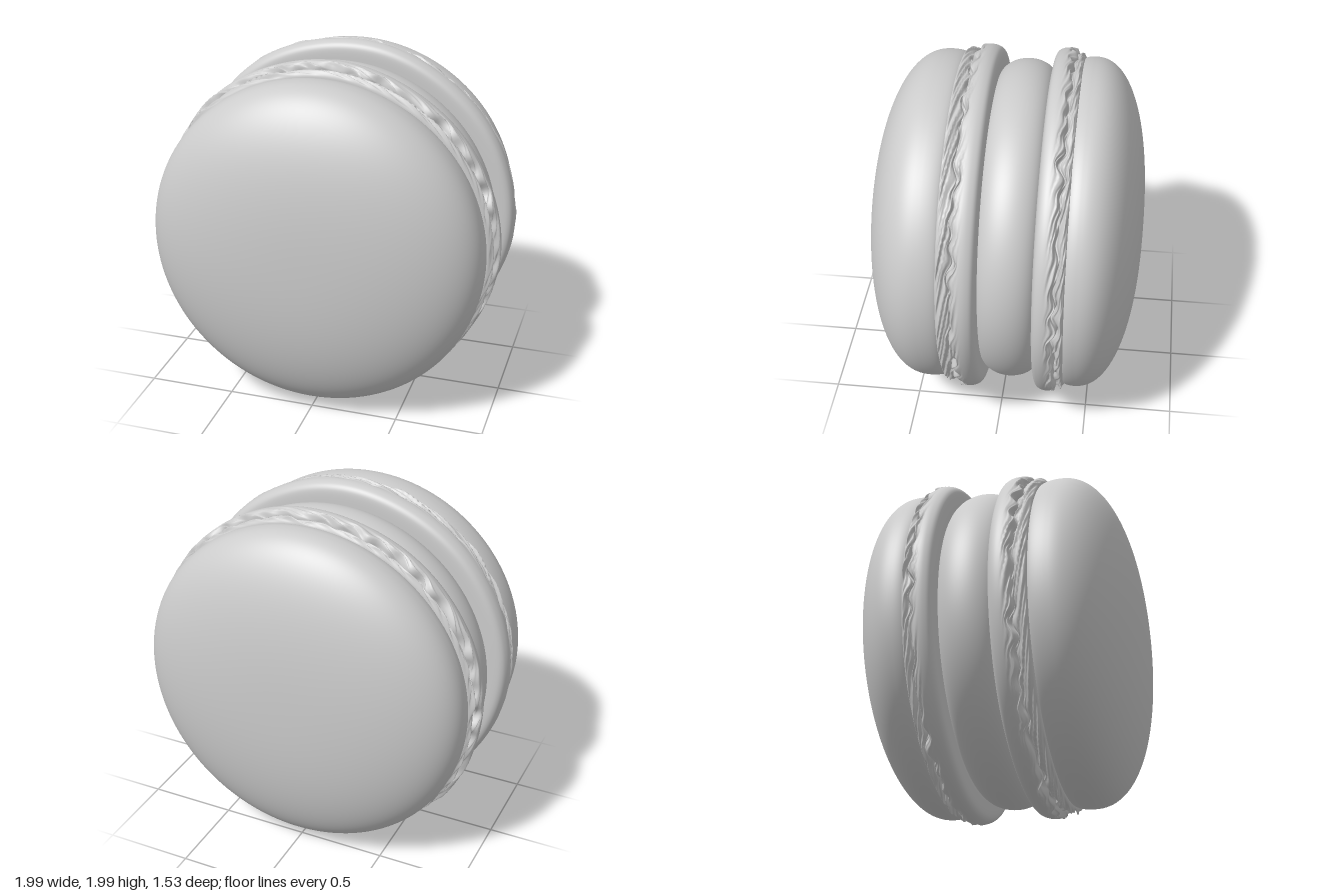
import * as THREE from 'three';
import { mergeVertices } from 'three/addons/utils/BufferGeometryUtils.js';

const material = new THREE.MeshStandardMaterial({ color: 0xcccccc });

// Periodic ripple around the rim: sines of whole-number frequencies, roughly -1..1
function ripple(angle, seed, freqs) {
  return freqs.reduce((sum, f, i) => sum + Math.sin(f * angle + seed * (i + 1.7) + i * i), 0) / freqs.length;
}

// Revolve a [radius, height] profile about the z axis; side = 1 faces front, -1 faces back
function revolve(name, profile, side, segments, warp) {
  const points = profile.map(([r, t]) => new THREE.Vector2(r, t));
  let geometry = new THREE.LatheGeometry(points, segments);
  geometry.deleteAttribute('uv');
  geometry.deleteAttribute('normal');
  geometry = mergeVertices(geometry, 1e-5);
  if (warp) {
    const pos = geometry.attributes.position;
    for (let i = 0; i < pos.count; i++) {
      const angle = Math.atan2(pos.getX(i), pos.getZ(i));
      const [r, t] = warp(Math.hypot(pos.getX(i), pos.getZ(i)), pos.getY(i), angle);
      pos.setXYZ(i, r * Math.sin(angle), t, r * Math.cos(angle));
    }
  }
  geometry.rotateX(side * Math.PI / 2);
  geometry.computeVertexNormals();
  const mesh = new THREE.Mesh(geometry, material);
  mesh.name = name;
  mesh.position.y = 1;
  return mesh;
}

// Smooth domed biscuit, widest just above its base
function shell(name, side, base, widest, top) {
  const profile = [[0, base], [0.88, base], [0.92, base + 0.005]];
  for (let i = 0; i <= 10; i++) {
    const a = (1 - i / 10) * Math.PI / 2 * 0.75;
    profile.push([0.95 - 0.03 * (1 - Math.cos(a)), widest - (widest - base - 0.005) * Math.sin(a)]);
  }
  for (let i = 1; i <= 40; i++) {
    const a = i / 40 * Math.PI / 2;
    profile.push([
      0.95 * Math.max(Math.cos(a), 0) ** (2 / 2.3),
      widest + (top - widest) * Math.sin(a) ** (2 / 2.3),
    ]);
  }
  profile[profile.length - 1][0] = 0;
  return revolve(name, profile, side, 128);
}

// Ruffled foot: a wide smooth lip, a ragged groove, then a thin crumbly lip
function foot(name, side, inner, edge, outer, seed) {
  const mid = (edge + outer) / 2 + 0.01;
  const lip = edge - inner;
  const curve = new THREE.SplineCurve([
    [0.8, inner], [0.92, inner], [0.965, inner + 0.1 * lip], [0.985, inner + 0.35 * lip],
    [0.99, inner + 0.65 * lip], [0.982, edge - 0.012], [0.962, edge], [0.935, edge + 0.002],
    [0.928, edge + 0.012], [0.945, edge + 0.018], [0.962, mid], [0.958, outer - 0.012],
    [0.935, outer], [0.88, outer],
  ].map(([r, t]) => new THREE.Vector2(r, t)));
  const profile = curve.getPoints(64).map((p) => [p.x, p.y]);
  return revolve(name, profile, side, 360, (r, t, angle) => {
    if (r < 0.9) return [r, t];
    const nearEdge = Math.exp(-(((t - edge) / 0.028) ** 2));
    const crumb = THREE.MathUtils.smoothstep(t, edge - 0.05, edge) * THREE.MathUtils.smoothstep(outer - t, 0, 0.02);
    const scallop = ripple(angle, seed, [17, 29, 37, 43]);
    const lumps = ripple(angle + t * 6, seed + 3, [31, 47, 59, 23]);
    const swell = ripple(angle, seed + 5, [3, 5, 8]);
    return [
      r + 0.006 * swell + 0.018 * crumb * lumps,
      t + 0.026 * nearEdge * scallop,
    ];
  });
}

// Soft cream layer with a bulging rim
function filling(back, front) {
  const centre = (back + front) / 2, half = (front - back) / 2 + 0.01;
  const profile = [[0, centre - half]];
  for (let i = 0; i <= 32; i++) {
    const a = (i / 32 - 0.5) * Math.PI;
    profile.push([0.79 + 0.13 * Math.cos(a) ** 0.9, centre + half * Math.sin(a)]);
  }
  profile.push([0, centre + half]);
  return revolve('filling', profile, 1, 128);
}

export function createModel() {
  const group = new THREE.Group();
  group.name = 'macaron';
  group.add(
    shell('frontShell', 1, 0.285, 0.39, 0.765),
    foot('frontFoot', 1, 0.09, 0.215, 0.3, 1.3),
    filling(-0.21, 0.095),
    foot('backFoot', -1, 0.207, 0.32, 0.377, 4.1),
    shell('backShell', -1, 0.355, 0.43, 0.765),
  );
  return group;
}
